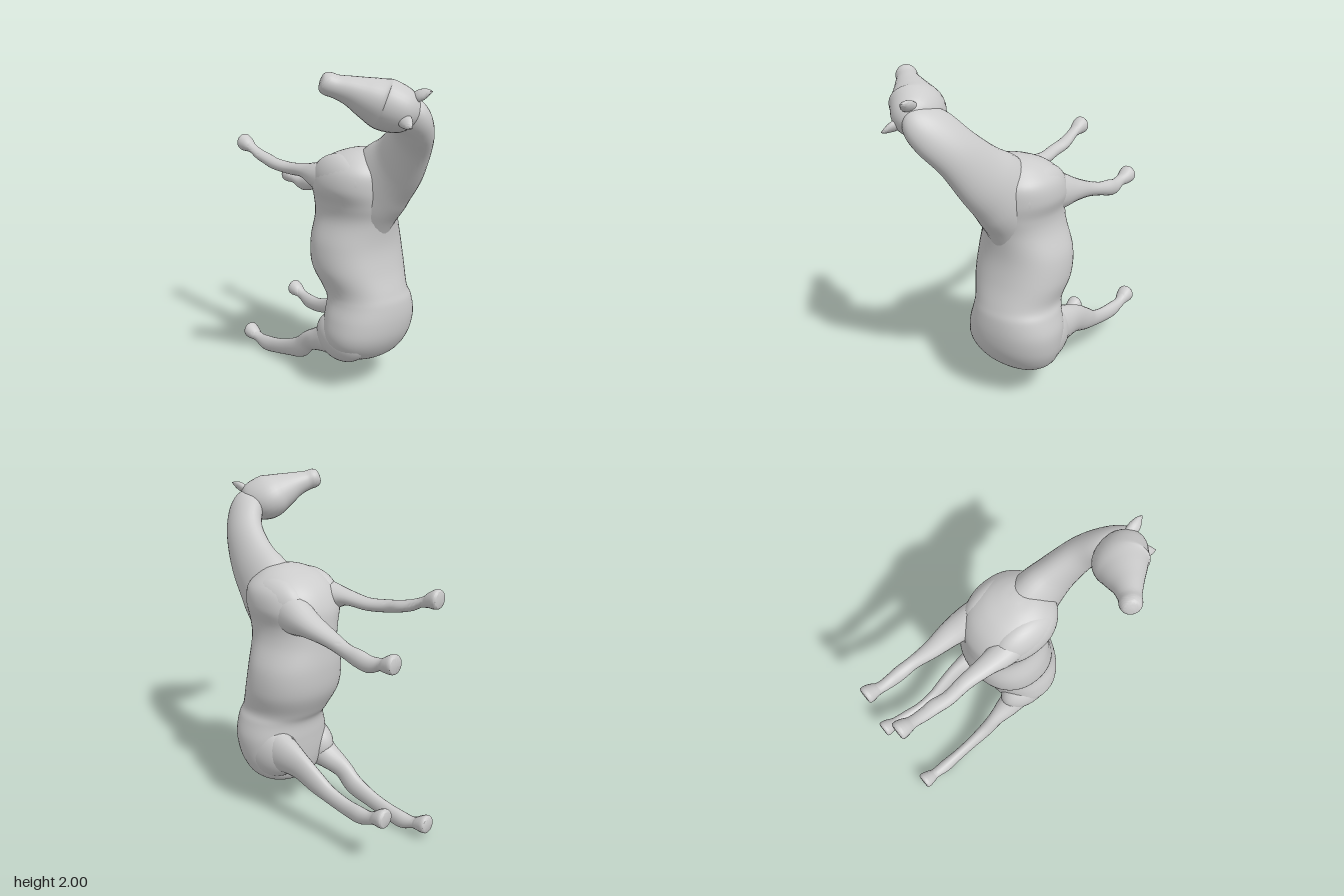
import * as THREE from 'three';
import { toCreasedNormals } from 'three/addons/utils/BufferGeometryUtils.js';

const material = new THREE.MeshStandardMaterial({ color: 0xcccccc });
const V = (x, y, z) => new THREE.Vector3(x, y, z);

// Catmull-Rom through rows of numbers
function sample(rows, t) {
  const f = t * (rows.length - 1);
  const i = Math.min(Math.floor(f), rows.length - 2), s = f - i;
  const at = k => rows[Math.max(0, Math.min(rows.length - 1, k))];
  const [a, b, c, d] = [at(i - 1), at(i), at(i + 1), at(i + 2)];
  return b.map((p, k) => p + 0.5 * s * (c[k] - a[k]
    + s * (2 * a[k] - 5 * p + 4 * c[k] - d[k] + s * (3 * (p - c[k]) + d[k] - a[k]))));
}

// Smooth closed loft; a row is [x, y, z, radius along side, radius across]
function loft(name, rows, side, { normal = null, power = 2, segments = 32, steps = 6 } = {}) {
  const n = (rows.length - 1) * steps, pos = [], index = [];
  const data = Array.from({ length: n + 1 }, (_, i) => sample(rows, i / n));
  const centre = i => V(...data[Math.max(0, Math.min(n, i))].slice(0, 3));
  const bend = v => Math.sign(v) * Math.abs(v) ** (2 / power);
  for (let i = 0; i <= n; i++) {
    const t = normal ? normal.clone() : centre(i + 2).sub(centre(i - 2)).normalize();
    const u = side.clone().addScaledVector(t, -side.dot(t)).normalize();
    const v = t.clone().cross(u);
    for (let j = 0; j < segments; j++) {
      const a = j / segments * Math.PI * 2;
      const p = centre(i).addScaledVector(u, bend(Math.cos(a)) * Math.max(0.002, data[i][3]))
        .addScaledVector(v, bend(Math.sin(a)) * Math.max(0.002, data[i][4]));
      pos.push(p.x, p.y, p.z);
    }
  }
  pos.push(...centre(0).toArray(), ...centre(n).toArray());
  const start = (n + 1) * segments, last = n * segments;
  for (let j = 0; j < segments; j++) {
    const k = (j + 1) % segments;
    for (let i = 0; i < n; i++) {
      const a = i * segments + j, b = i * segments + k;
      index.push(a, b, a + segments, b, b + segments, a + segments);
    }
    index.push(start, k, j, start + 1, last + j, last + k);
  }
  const g = new THREE.BufferGeometry();
  g.setAttribute('position', new THREE.Float32BufferAttribute(pos, 3));
  g.setIndex(index);
  const mesh = new THREE.Mesh(toCreasedNormals(g, 0.9), material);
  mesh.name = name;
  return mesh;
}

function ball(name, p, r) {
  const m = new THREE.Mesh(new THREE.SphereGeometry(1, 32, 20), material);
  m.name = name;
  m.position.set(...p);
  m.scale.set(...r);
  return m;
}

export function createModel() {
  const group = new THREE.Group();
  const X = V(1, 0, 0);

  // Torso sections: y, xMin, xMax, zMin, zMax
  const torso = [
    [0.195, 0.13, 0.2, 0.09, 0.14], [0.21, 0.03, 0.32, 0.01, 0.24], [0.25, -0.06, 0.39, -0.03, 0.31],
    [0.32, -0.12, 0.43, -0.05, 0.365], [0.4, -0.14, 0.45, -0.06, 0.4], [0.5, -0.125, 0.455, -0.065, 0.415],
    [0.6, -0.095, 0.43, -0.07, 0.41], [0.67, -0.097, 0.41, -0.11, 0.39], [0.8, -0.135, 0.435, -0.175, 0.35],
    [0.95, -0.125, 0.425, -0.195, 0.325], [1.1, -0.08, 0.37, -0.19, 0.335], [1.2, -0.09, 0.36, -0.19, 0.36],
    [1.3, -0.125, 0.385, -0.18, 0.37], [1.4, -0.11, 0.37, -0.13, 0.36], [1.47, -0.055, 0.305, -0.05, 0.3],
    [1.51, 0.02, 0.23, 0.05, 0.24], [1.525, 0.1, 0.16, 0.12, 0.17],
  ].map(([y, a, b, c, d]) => [(a + b) / 2, y, (c + d) / 2, (b - a) / 2, (d - c) / 2]);
  group.add(loft('torso', torso, X, { normal: V(0, 1, 0), power: 2.2, segments: 48 }));

  // Neck rising out of the withers and curving towards the turned head
  group.add(loft('neck', [
    [0.14, 1.02, 0.13, 0.12, 0.17], [0.14, 1.2, 0.19, 0.15, 0.205], [0.14, 1.35, 0.29, 0.14, 0.215],
    [0.12, 1.48, 0.435, 0.11, 0.18], [0.068, 1.63, 0.565, 0.095, 0.145], [-0.012, 1.74, 0.645, 0.092, 0.14],
    [-0.08, 1.8, 0.67, 0.088, 0.12], [-0.13, 1.835, 0.66, 0.05, 0.06],
  ], X));

  // Head from poll to muzzle
  const across = V(0.65, 0.76, 0).normalize();
  const head = new THREE.Group();
  head.name = 'head';
  head.add(loft('skull', [
    [-0.07, 1.79, 0.735, 0.05, 0.05], [-0.11, 1.81, 0.69, 0.11, 0.115], [-0.165, 1.84, 0.595, 0.13, 0.155],
    [-0.235, 1.875, 0.545, 0.108, 0.125], [-0.31, 1.912, 0.495, 0.077, 0.085], [-0.37, 1.935, 0.45, 0.06, 0.062],
    [-0.405, 1.95, 0.422, 0.059, 0.06], [-0.427, 1.96, 0.405, 0.045, 0.045], [-0.434, 1.963, 0.4, 0.015, 0.015],
  ], across));
  for (const s of [1, -1]) {
    const side = s > 0 ? 'left' : 'right';
    const on = (p, k) => V(...p).addScaledVector(across, s * k).toArray();
    head.add(loft(side + 'Ear', [
      [...on([-0.13, 1.83, 0.71], 0.065), 0.03, 0.022], [...on([-0.135, 1.835, 0.755], 0.08), 0.036, 0.024],
      [...on([-0.138, 1.835, 0.79], 0.098), 0.024, 0.016], [...on([-0.14, 1.835, 0.82], 0.11), 0.003, 0.003],
    ], across, { segments: 16 }));
    head.add(ball(side + 'Eye', on([-0.24, 1.89, 0.605], 0.07), [0.026, 0.026, 0.026]));
  }
  group.add(head);

  // Shoulders and thighs blend the legs into the torso
  group.add(ball('leftShoulder', [0.265, 1.32, 0.1], [0.115, 0.16, 0.22]));
  group.add(ball('rightShoulder', [-0.005, 1.34, 0.1], [0.115, 0.155, 0.22]));
  group.add(ball('leftThigh', [0.325, 0.42, 0.12], [0.12, 0.18, 0.22]));
  group.add(ball('rightThigh', [-0.01, 0.36, 0.12], [0.12, 0.16, 0.2]));

  // Legs: z, x, y, half width, half height, from body to hoof
  const legs = {
    frontLeftLeg: [[0.2, 0.22, 1.32, 0.07, 0.12], [0.05, 0.26, 1.3, 0.09, 0.13], [-0.08, 0.278, 1.275, 0.095, 0.11],
      [-0.2, 0.295, 1.25, 0.08, 0.072], [-0.35, 0.303, 1.21, 0.056, 0.048], [-0.48, 0.32, 1.175, 0.04, 0.042],
      [-0.57, 0.325, 1.155, 0.042, 0.05], [-0.64, 0.327, 1.143, 0.038, 0.048], [-0.71, 0.325, 1.157, 0.034, 0.034]],
    frontRightLeg: [[0.2, 0.04, 1.32, 0.07, 0.11], [0.05, 0, 1.33, 0.09, 0.12], [-0.08, -0.018, 1.34, 0.085, 0.085],
      [-0.2, -0.02, 1.35, 0.062, 0.045], [-0.35, -0.018, 1.34, 0.047, 0.037], [-0.48, -0.033, 1.35, 0.042, 0.036],
      [-0.57, -0.028, 1.367, 0.044, 0.034], [-0.64, -0.032, 1.385, 0.039, 0.032], [-0.71, -0.035, 1.415, 0.035, 0.027]],
    hindLeftLeg: [[0.22, 0.28, 0.42, 0.07, 0.13], [0.08, 0.325, 0.43, 0.09, 0.15], [-0.06, 0.348, 0.43, 0.075, 0.115],
      [-0.18, 0.362, 0.405, 0.05, 0.088], [-0.3, 0.36, 0.345, 0.042, 0.072], [-0.4, 0.355, 0.3, 0.036, 0.055],
      [-0.52, 0.355, 0.27, 0.034, 0.05], [-0.63, 0.365, 0.266, 0.038, 0.05], [-0.71, 0.375, 0.285, 0.033, 0.036]],
    hindRightLeg: [[0.22, 0.04, 0.38, 0.07, 0.1], [0.08, -0.01, 0.34, 0.09, 0.125], [-0.06, -0.025, 0.285, 0.075, 0.08],
      [-0.17, -0.03, 0.235, 0.05, 0.065], [-0.26, -0.03, 0.16, 0.044, 0.068], [-0.4, -0.03, 0.11, 0.036, 0.055],
      [-0.52, -0.03, 0.08, 0.035, 0.052], [-0.63, -0.03, 0.063, 0.04, 0.052], [-0.71, -0.03, 0.076, 0.034, 0.034]],
  };
  const hooves = {
    frontLeftLeg: [0.332, 1.18], frontRightLeg: [-0.035, 1.445], hindLeftLeg: [0.375, 0.317], hindRightLeg: [-0.03, 0.1],
  };
  for (const [name, rows] of Object.entries(legs)) {
    const leg = new THREE.Group();
    leg.name = name;
    const [hx, hy] = hooves[name];
    const end = rows[rows.length - 1];
    const path = rows.map(([z, x, y, a, b]) => [x, y, z, a, b]);
    path.push([hx, hy - 0.012, -0.76, 0.04, 0.04]);
    leg.add(loft('limb', path, X, { segments: 20 }));
    // Flared hoof with a flat sole
    leg.add(loft('hoof', [
      [end[1], end[2], -0.715, 0.03, 0.03], [hx, hy - 0.01, -0.755, 0.044, 0.044],
      [hx, hy, -0.795, 0.053, 0.055], [hx, hy, -0.815, 0.05, 0.05], [hx, hy, -0.82, 0.04, 0.04],
    ], X, { normal: V(0, 0, -1), segments: 20 }));
    group.add(leg);
  }
  return group;
}
